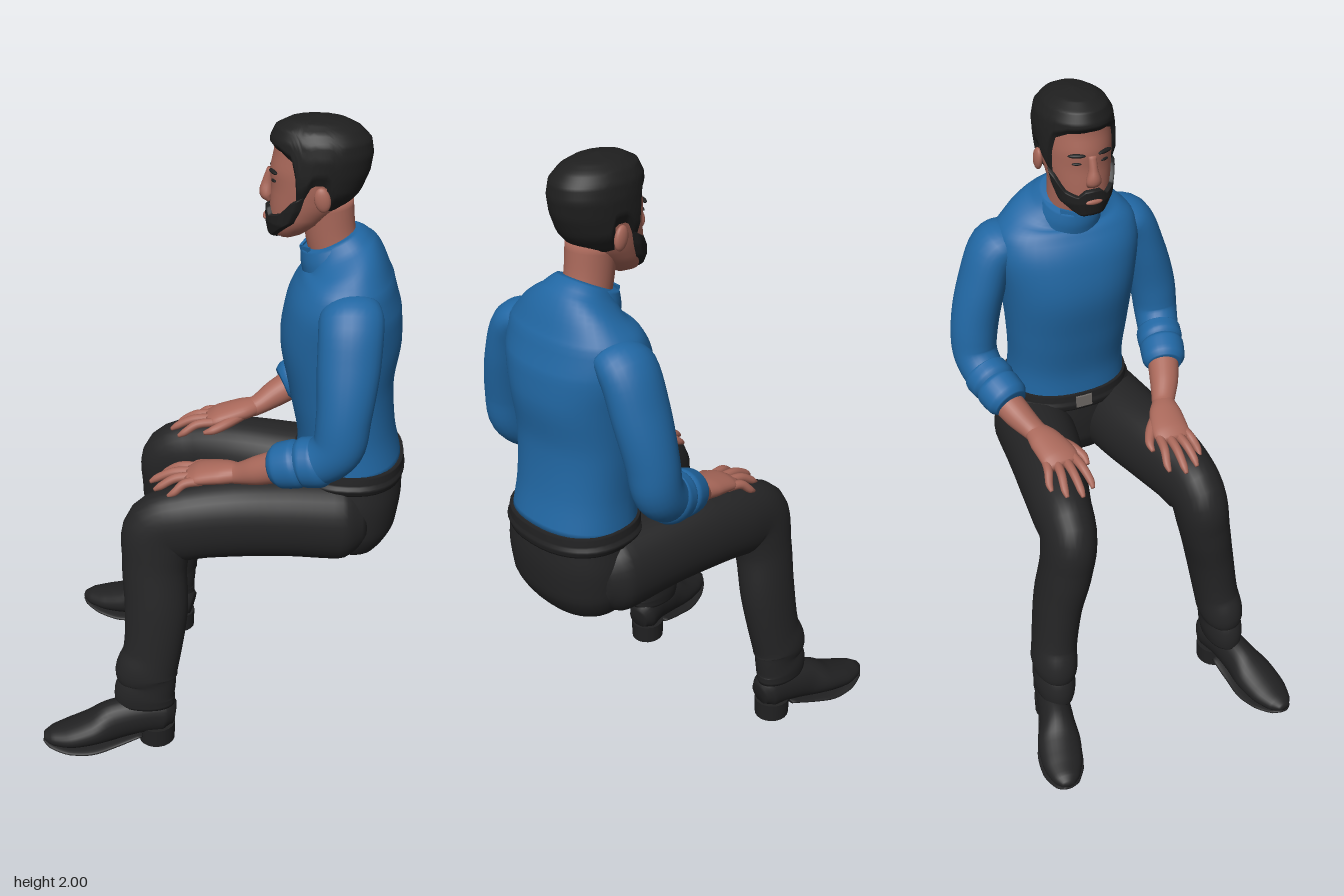
import * as THREE from 'three';
import { mergeVertices } from 'three/addons/utils/BufferGeometryUtils.js';

const mat = (name, color) => new THREE.MeshStandardMaterial({ name, color });

// Builds a smooth indexed geometry from a list of points and faces
function surface(points, faces) {
  const g = new THREE.BufferGeometry();
  g.setAttribute('position', new THREE.Float32BufferAttribute(points, 3));
  g.setIndex(faces);
  const merged = mergeVertices(g, 1e-5);
  merged.computeVertexNormals();
  return merged;
}

// Closed body through elliptical rings [x, y, z, a, b]; b is the half-width towards z.
// s = -1 mirrors the rings in z, power < 1 makes the section boxier.
function loft(rings, s = 1, power = 1, seg = 28) {
  const path = new THREE.CatmullRomCurve3(rings.map(r => new THREE.Vector3(r[0], r[1], r[2] * s)));
  const size = new THREE.CatmullRomCurve3(rings.map(r => new THREE.Vector3(r[3], r[4], 0)));
  const n = (rings.length - 1) * 5, points = [], faces = [];
  const bend = v => Math.sign(v) * Math.abs(v) ** power;
  for (let i = 0; i <= n; i++) {
    const c = path.getPoint(i / n), r = size.getPoint(i / n), T = path.getTangent(i / n);
    const S = new THREE.Vector3(0, 0, 1).addScaledVector(T, -T.z).normalize();
    const U = S.clone().cross(T);
    for (let j = 0; j < seg; j++) {
      const t = j / seg * Math.PI * 2;
      const p = c.clone().addScaledVector(U, Math.max(r.x, 0.002) * bend(Math.cos(t)))
        .addScaledVector(S, Math.max(r.y, 0.002) * bend(Math.sin(t)));
      points.push(p.x, p.y, p.z);
    }
  }
  const end = (n + 1) * seg;
  for (let j = 0; j < seg; j++) {
    const k = (j + 1) % seg;
    for (let i = 0; i < n; i++) {
      const a = i * seg, d = a + seg;
      faces.push(a + j, a + k, d + k, a + j, d + k, d + j);
    }
    faces.push(end, k, j, end + 1, n * seg + j, n * seg + k);
  }
  const a = path.getPoint(0), b = path.getPoint(1);
  points.push(a.x, a.y, a.z, b.x, b.y, b.z);
  return surface(points, faces);
}

// Skull outline by height: y, front x, back x, half-width
const SKULL = [
  [1.64, 0.165, 0.19, 0.005], [1.655, 0.135, 0.22, 0.045], [1.70, 0.126, 0.29, 0.078],
  [1.75, 0.127, 0.345, 0.092], [1.80, 0.13, 0.375, 0.1], [1.85, 0.126, 0.395, 0.103],
  [1.90, 0.136, 0.402, 0.103], [1.94, 0.138, 0.395, 0.096], [1.97, 0.152, 0.365, 0.077],
  [1.99, 0.19, 0.325, 0.045], [2.0, 0.26, 0.262, 0.001]];

// Value of a table of rows at key t (piecewise linear)
function lookup(rows, t) {
  let i = 1;
  while (i < rows.length - 1 && t > rows[i][0]) i++;
  const p = rows[i - 1], q = rows[i];
  const k = THREE.MathUtils.clamp((t - p[0]) / (q[0] - p[0]), 0, 1);
  return p.map((v, m) => v + (q[m] - v) * k);
}

// Layer over the skull between two height lines (rows of [degrees from the nose, y])
function skullLayer(maxDeg, lo, hi, thickness) {
  const points = [], faces = [], nu = 72, nv = 28;
  for (let i = 0; i <= nv; i++) for (let j = 0; j <= nu; j++) {
    const v = i / nv, deg = (j / nu * 2 - 1) * maxDeg, t = deg * Math.PI / 180;
    const top = lookup(hi, Math.abs(deg))[1], low = lookup(lo, Math.abs(deg))[1];
    const y = top - (top - low) * v ** 1.6;
    const [, front, back, b] = lookup(SKULL, y);
    const side = maxDeg < 180 ? (1 - Math.abs(deg) / maxDeg) * 8 : 1;
    const e = Math.min(1, v * 7, (1 - v) * 7, side);
    const off = thickness * e - (thickness ? 0.003 * (1 - e) : 0);
    points.push((front + back) / 2 - Math.max((back - front) / 2 + off, 0) * Math.cos(t), y,
      Math.max(b + off, 0) * Math.sin(t));
    if (i < nv && j < nu) {
      const a = i * (nu + 1) + j, d = a + nu + 1;
      faces.push(a, d, d + 1, a, d + 1, a + 1);
    }
  }
  return surface(points, faces);
}

export function createModel() {
  const root = new THREE.Group();
  root.name = 'seatedMan';
  const shirt = mat('shirt blue', 0x2167a3), skin = mat('skin', 0xa9685a);
  const trousers = mat('trouser black', 0x242425), leather = mat('shoe black', 0x212122);
  const hair = mat('hair black', 0x1f1f1f), metal = mat('buckle grey', 0x6f6a66);
  const add = (name, geometry, material) => {
    const m = new THREE.Mesh(geometry, material);
    m.name = name;
    root.add(m);
    return m;
  };
  const ball = (name, material, pos, scale) => {
    const m = add(name, new THREE.SphereGeometry(1, 16, 12), material);
    m.position.set(...pos);
    m.scale.set(...scale);
    return m;
  };

  // Trunk
  add('shirtBody', loft([
    [0.385, 0.93, 0, 0.163, 0.198], [0.372, 1.05, 0, 0.15, 0.19], [0.352, 1.2, 0, 0.16, 0.2],
    [0.346, 1.34, 0, 0.181, 0.215], [0.35, 1.45, 0, 0.17, 0.232], [0.354, 1.53, 0, 0.14, 0.222],
    [0.35, 1.58, 0, 0.115, 0.175], [0.335, 1.62, 0, 0.095, 0.11], [0.32, 1.65, 0, 0.07, 0.08]], 1, 0.88, 40), shirt);
  add('hips', loft([
    [0.375, 0.645, 0, 0.07, 0.13], [0.38, 0.67, 0, 0.12, 0.18], [0.388, 0.74, 0, 0.155, 0.21],
    [0.39, 0.83, 0, 0.165, 0.213], [0.388, 0.9, 0, 0.164, 0.203], [0.386, 0.95, 0, 0.162, 0.198]], 1, 0.85, 40), trousers);
  add('belt', loft([[0.386, 0.895, 0, 0.171, 0.207], [0.386, 0.925, 0, 0.171, 0.207],
    [0.386, 0.955, 0, 0.169, 0.203]], 1, 0.87, 40), leather);
  const buckle = add('buckle', new THREE.BoxGeometry(0.008, 0.04, 0.055), metal);
  buckle.position.set(0.214, 0.926, 0);

  // Neck and collar
  add('neck', loft([[0.335, 1.56, 0, 0.08, 0.075], [0.305, 1.65, 0, 0.073, 0.068],
    [0.29, 1.76, 0, 0.075, 0.07]]), skin);
  add('collar', loft([[0.324, 1.575, 0, 0.106, 0.108], [0.312, 1.605, 0, 0.099, 0.098],
    [0.301, 1.637, 0, 0.085, 0.084]], 1), shirt);

  // Head
  add('face', skullLayer(180, [[0, 1.64], [180, 1.64]], [[0, 1.988], [180, 1.988]], 0), skin);
  add('hair', skullLayer(180, [[0, 1.91], [35, 1.905], [55, 1.885], [64, 1.84], [70, 1.765], [78, 1.765],
    [86, 1.82], [104, 1.82], [114, 1.74], [180, 1.725]], [[0, 2], [180, 2]], 0.013), hair);
  add('beard', skullLayer(82, [[0, 1.64], [40, 1.642], [65, 1.675], [82, 1.71]],
    [[0, 1.742], [14, 1.74], [28, 1.722], [50, 1.735], [64, 1.775], [82, 1.8]], 0.012), hair);
  add('nose', loft([[0.126, 1.845, 0, 0.008, 0.012], [0.12, 1.805, 0, 0.016, 0.014],
    [0.117, 1.772, 0, 0.02, 0.023], [0.126, 1.752, 0, 0.008, 0.018]], 1, 1, 16), skin);
  ball('lips', skin, [0.115, 1.705, 0], [0.007, 0.008, 0.026]);

  for (const s of [1, -1]) {
    const n = s > 0 ? 'left' : 'right';
    const part = (name, rings, material, power, seg) => add(n + name, loft(rings, s, power, seg), material);

    // Face details
    ball(n + 'Ear', skin, [0.278, 1.79, 0.107 * s], [0.023, 0.036, 0.013]).rotation.z = 0.2;
    ball(n + 'Brow', hair, [0.137, 1.848, 0.043 * s], [0.008, 0.006, 0.026]).rotation.y = 0.4 * s;
    ball(n + 'Eye', hair, [0.139, 1.822, 0.043 * s], [0.005, 0.004, 0.014]).rotation.y = 0.4 * s;

    // Collar point lying on the chest
    const flap = new THREE.Shape([[0, 0.04], [0.06, 0.055], [0.05, -0.03]].map(p => new THREE.Vector2(...p)));
    const point = add(n + 'CollarPoint',
      new THREE.ExtrudeGeometry(flap, { depth: 0.008, bevelEnabled: false }), shirt);
    point.material = shirt;
    point.position.set(0.222, 1.575, 0);
    point.rotation.set(0, s > 0 ? Math.PI * 1.5 + 0.45 : Math.PI * 1.5 - 0.45, 0);
    if (s < 0) point.geometry.rotateY(Math.PI).translate(0, 0, 0.008);

    // Sleeve with rolled cuff
    part('Sleeve', [[0.37, 1.505, 0.17, 0.08, 0.05], [0.372, 1.475, 0.225, 0.092, 0.07],
      [0.37, 1.36, 0.272, 0.09, 0.073], [0.362, 1.22, 0.308, 0.079, 0.074],
      [0.348, 1.125, 0.316, 0.076, 0.07], [0.29, 1.068, 0.303, 0.07, 0.066],
      [0.2, 1.042, 0.278, 0.058, 0.06]], shirt);
    part('UpperCuffRoll', [[0.315, 1.08, 0.308, 0.064, 0.06], [0.29, 1.068, 0.302, 0.077, 0.073],
      [0.255, 1.06, 0.292, 0.075, 0.073], [0.235, 1.054, 0.288, 0.06, 0.06]], shirt);
    part('Cuff', [[0.25, 1.058, 0.291, 0.062, 0.062], [0.23, 1.05, 0.286, 0.073, 0.072],
      [0.185, 1.034, 0.272, 0.068, 0.069], [0.165, 1.026, 0.266, 0.052, 0.054]], shirt);

    // Forearm and hand resting on the thigh
    const dx = s > 0 ? 0 : 0.025, dz = s > 0 ? 0 : 0.012;
    const arm = (name, rings, seg) =>
      part(name, rings.map(([x, y, z, a, b]) => [x + dx, y, z + dz, a, b]), skin, 1, seg);
    arm('Forearm', [[0.2, 1.04, 0.275, 0.05, 0.052], [0.12, 0.997, 0.243, 0.044, 0.046],
      [0.06, 0.966, 0.212, 0.032, 0.037], [0.03, 0.958, 0.2, 0.03, 0.036]]);
    arm('Palm', [[0.06, 0.966, 0.212, 0.028, 0.034], [0.01, 0.957, 0.196, 0.031, 0.052],
      [-0.06, 0.942, 0.18, 0.027, 0.06], [-0.1, 0.93, 0.177, 0.016, 0.052]]);
    const tips = [[-0.19, 0.118], [-0.218, 0.162], [-0.2, 0.207], [-0.155, 0.24]];
    tips.forEach(([x, z], i) => {
      const z0 = 0.137 + i * 0.028, x0 = -0.07 + (i === 3 ? 0.015 : 0);
      arm('Finger' + (i + 1), [[x0, 0.937, z0, 0.015, 0.015], [(x0 + x) / 2, 0.93, (z0 + z) / 2, 0.014, 0.014],
        [x + 0.02, 0.904, z, 0.012, 0.012], [x, 0.89, z, 0.006, 0.006]], 12);
    });
    arm('Thumb', [[0.01, 0.95, 0.165, 0.018, 0.02], [-0.035, 0.938, 0.125, 0.017, 0.018],
      [-0.075, 0.925, 0.102, 0.014, 0.014], [-0.105, 0.915, 0.1, 0.006, 0.007]], 12);

    // Trouser leg: thigh, knee, shin and creased hem
    part('TrouserLeg', [[0.44, 0.785, 0.125, 0.09, 0.08], [0.36, 0.785, 0.135, 0.138, 0.125],
      [0.2, 0.795, 0.155, 0.135, 0.122], [0.04, 0.797, 0.185, 0.132, 0.11],
      [-0.09, 0.785, 0.21, 0.125, 0.096], [-0.178, 0.755, 0.222, 0.12, 0.085],
      [-0.2, 0.65, 0.238, 0.102, 0.08], [-0.195, 0.5, 0.268, 0.1, 0.074],
      [-0.21, 0.34, 0.292, 0.092, 0.07], [-0.228, 0.27, 0.302, 0.1, 0.071],
      [-0.225, 0.235, 0.304, 0.091, 0.064], [-0.235, 0.19, 0.307, 0.098, 0.064],
      [-0.235, 0.15, 0.309, 0.096, 0.058]], trousers, 0.95, 32);

    // Shoe, sole and heel
    part('Shoe', [[-0.143, 0.1, 0.297, 0.04, 0.035], [-0.18, 0.108, 0.303, 0.07, 0.055],
      [-0.25, 0.105, 0.32, 0.068, 0.052], [-0.33, 0.092, 0.338, 0.069, 0.056],
      [-0.4, 0.071, 0.358, 0.051, 0.07], [-0.47, 0.056, 0.375, 0.039, 0.065],
      [-0.53, 0.051, 0.386, 0.026, 0.043], [-0.557, 0.052, 0.39, 0.01, 0.018]], leather);
    part('Sole', [[-0.25, 0.045, 0.32, 0.008, 0.05], [-0.33, 0.024, 0.34, 0.01, 0.06],
      [-0.41, 0.015, 0.36, 0.011, 0.073], [-0.48, 0.02, 0.376, 0.01, 0.066],
      [-0.54, 0.032, 0.387, 0.008, 0.038], [-0.558, 0.04, 0.39, 0.004, 0.015]], leather, 0.8);
    const heel = add(n + 'Heel', new THREE.CylinderGeometry(0.06, 0.058, 0.065, 20), leather);
    heel.scale.z = 0.95;
    heel.position.set(-0.2, 0.0325, 0.306 * s);
    heel.rotation.y = 0.225 * s;
  }
  return root;
}
